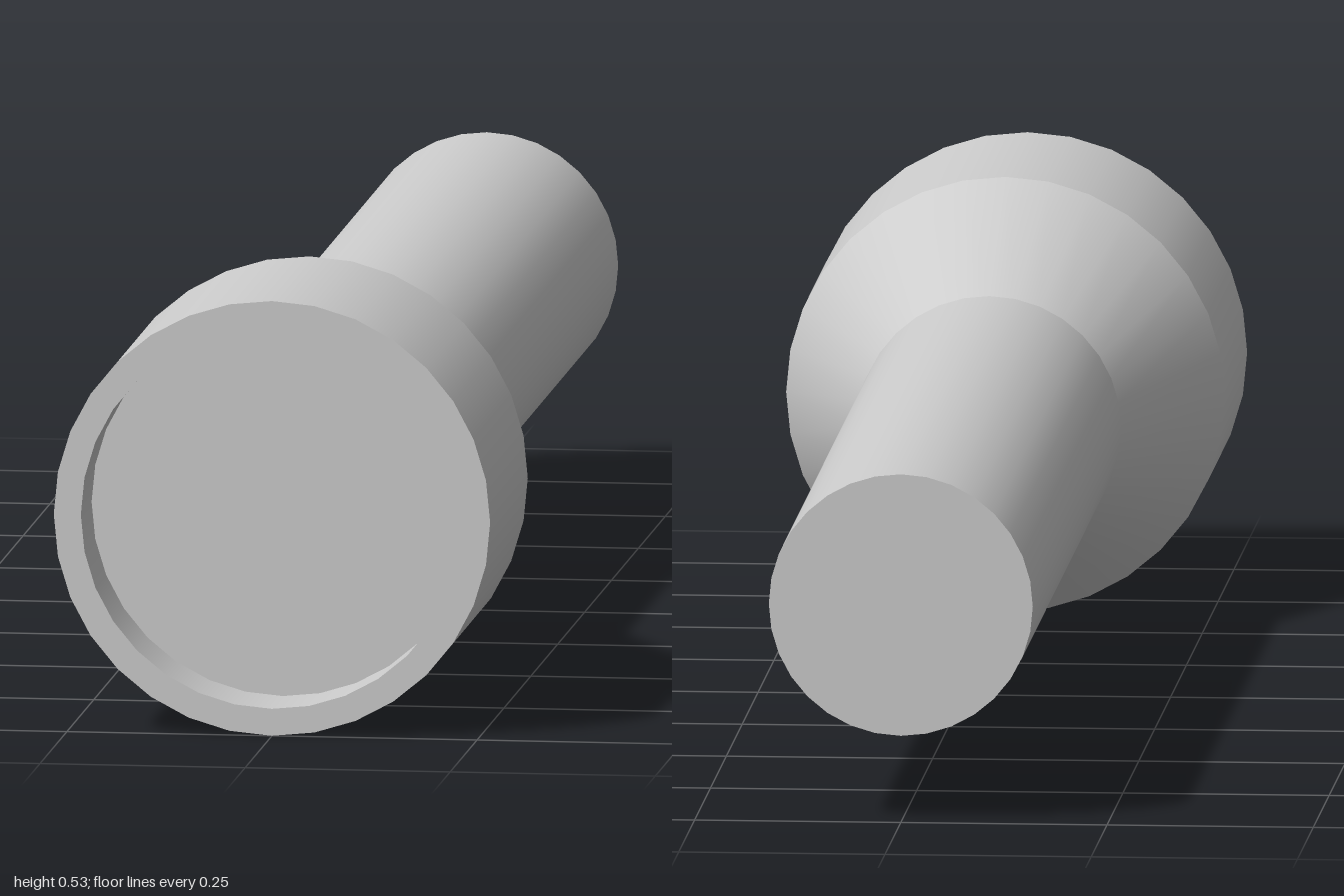
import * as THREE from 'three';

export function createModel() {
  const group = new THREE.Group();
  group.name = 'flashlight';
  const grey = new THREE.MeshStandardMaterial({ color: 0xcccccc });
  grey.name = 'grey';

  const sides = 32;
  const handleR = 0.16, headR = 0.266, lensR = 0.233;

  // Outline from the tail centre to the lens centre: [part leading to this point, radius, z]
  const outline = [
    ['start', 0, -1],
    ['tailCap', handleR, -1],
    ['handle', handleR, 0.395],
    ['neck', headR, 0.65],
    ['head', headR, 1],
    ['rim', lensR, 1],
    ['recessWall', lensR, 0.9],
    ['lens', 0, 0.9],
  ];

  // Each band is turned separately so its edges stay sharp
  for (let i = 1; i < outline.length; i++) {
    const [, r0, z0] = outline[i - 1];
    const [name, r1, z1] = outline[i];
    const geometry = new THREE.LatheGeometry(
      [new THREE.Vector2(r0, z0), new THREE.Vector2(r1, z1)], sides);
    geometry.rotateX(Math.PI / 2);
    const mesh = new THREE.Mesh(geometry, grey);
    mesh.name = name;
    mesh.position.y = headR;
    group.add(mesh);
  }
  return group;
}
